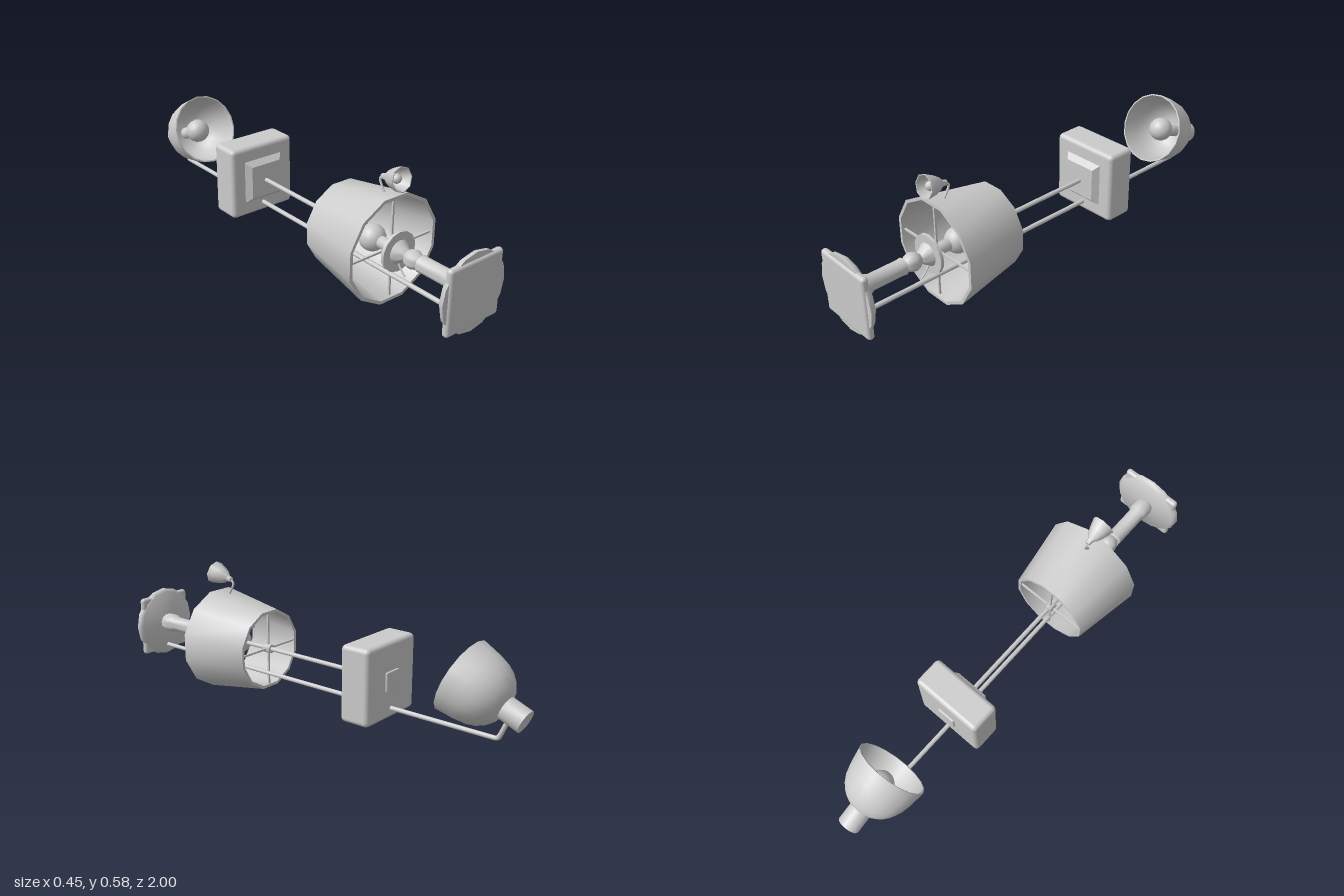
import * as THREE from 'three';
import { toCreasedNormals } from 'three/addons/utils/BufferGeometryUtils.js';
import { RoundedBoxGeometry } from 'three/addons/geometries/RoundedBoxGeometry.js';

const CY = 0.23; // height of the main axis
const mat = new THREE.MeshStandardMaterial({ color: 0xcccccc, side: THREE.DoubleSide });

function add(parent, name, geo, x = 0, y = 0, z = 0) {
  const m = new THREE.Mesh(geo, mat);
  m.name = name;
  m.position.set(x, y, z);
  parent.add(m);
  return m;
}

// Revolved profile of [radius, distance along the axis]; the axis is local +y
function lathe(profile, sides, offset = 0) {
  const pts = profile.map(([r, t]) => new THREE.Vector2(r, t));
  return toCreasedNormals(new THREE.LatheGeometry(pts, sides, offset), 0.9);
}
// Same, with the axis along z
const latheZ = (profile, sides, offset) => lathe(profile, sides, offset).rotateX(Math.PI / 2);

// Tube through [y, z] points in the middle plane
function rod(points, radius, sides = 8) {
  const path = new THREE.CurvePath();
  const v = points.map(([y, z]) => new THREE.Vector3(0, y, z));
  if (v.length === 2) path.add(new THREE.LineCurve3(v[0], v[1]));
  else path.add(new THREE.CatmullRomCurve3(v, false, 'catmullrom', 0.3));
  return new THREE.TubeGeometry(path, v.length === 2 ? 1 : 24, radius, sides);
}

// Square frustum with its axis along z, wide end at the back
function frustumZ(half0, half1, depth) {
  const g = new THREE.CylinderGeometry(half1 * Math.SQRT2, half0 * Math.SQRT2, depth, 4, 1, false, Math.PI / 4);
  return toCreasedNormals(g.rotateX(Math.PI / 2), 0.3);
}

export function createModel() {
  const root = new THREE.Group();

  // Foot: square plate set into a bevelled round disc
  const base = new THREE.Group();
  base.name = 'base';
  base.position.y = CY;
  root.add(base);
  add(base, 'basePlate', new RoundedBoxGeometry(0.275, 0.275, 0.03, 3, 0.014), 0, -0.002, 0.985);
  add(base, 'baseDisc', latheZ([[0, 0.965], [0.15, 0.965], [0.163, 0.978], [0.163, 0.992], [0, 0.992]].map(([r, z]) => [r, z]), 16));

  // Turned column with ball, flare and drip disc
  add(root, 'column', latheZ([
    [0, 0.59], [0.022, 0.59], [0.022, 0.606], [0.085, 0.606], [0.085, 0.62], [0.05, 0.62],
    [0.03, 0.65], [0.022, 0.66], [0.033, 0.672], [0.04, 0.695], [0.033, 0.718], [0.024, 0.73],
    [0.036, 0.737], [0.034, 0.75], [0.034, 0.89], [0.042, 0.905], [0.043, 0.95], [0.036, 0.968],
  ], 14), 0, CY);

  // Bulb on the column
  add(root, 'socket', latheZ([[0.018, 0.5], [0.026, 0.52], [0.026, 0.6]], 12), 0, CY);
  add(root, 'bulb', new THREE.SphereGeometry(0.056, 16, 12), 0, CY, 0.47);

  // Twelve-sided shade, a thin closed wall
  add(root, 'shade', latheZ([
    [0.169, 0.28], [0.182, 0.28], [0.233, 0.59], [0.219, 0.59], [0.169, 0.28],
  ], 12, Math.PI / 12), 0, CY - 0.003);

  // Crossed spokes at both ends of the shade
  for (const [z, r] of [[0.575, 0.213], [0.29, 0.168]]) {
    for (const angle of [0, Math.PI / 2]) {
      const s = add(root, 'shadeSpoke', new THREE.BoxGeometry(2 * r, 0.008, 0.008), 0, CY, z);
      s.rotation.z = angle;
    }
  }
  add(root, 'shadeHub', latheZ([[0, 0.27], [0.02, 0.27], [0.02, 0.31], [0, 0.31]], 10), 0, CY);

  // Pull cord below the drip disc
  add(root, 'pullCord', rod([[0.21, 0.612], [0.18, 0.618], [0.155, 0.635], [0.135, 0.657]], 0.004, 6));

  // Long rods
  add(root, 'upperRod', rod([[CY, 0.46], [CY, -0.23]], 0.01));
  add(root, 'lowerRod', rod([[0.113, 0.97], [0.113, -0.86]], 0.01));
  add(root, 'lampArm', rod([[0.113, -0.855], [0.116, -0.868], [0.13, -0.878], [0.215, -0.915]], 0.01));

  // Square housing with a raised front and a small back plate
  const housing = new THREE.Group();
  housing.name = 'housing';
  housing.position.y = CY + 0.003;
  root.add(housing);
  add(housing, 'housingBody', new RoundedBoxGeometry(0.326, 0.326, 0.137, 3, 0.02), 0, 0, -0.3135);
  add(housing, 'housingFront', frustumZ(0.102, 0.075, 0.03), 0, 0, -0.235);
  add(housing, 'housingBack', new RoundedBoxGeometry(0.085, 0.085, 0.02, 2, 0.005), 0, 0, -0.38);

  // Tilted bowl lamp at the far end
  const bowlLamp = new THREE.Group();
  bowlLamp.name = 'bowlLamp';
  bowlLamp.position.set(0, 0.325, -0.7);
  bowlLamp.rotation.x = 1.17;
  root.add(bowlLamp);
  add(bowlLamp, 'bowl', lathe([
    [0.035, -0.212], [0.05, -0.21], [0.075, -0.2], [0.1, -0.182], [0.123, -0.153], [0.139, -0.12],
    [0.15, -0.075], [0.156, -0.03], [0.16, 0], [0.154, 0], [0.15, -0.03], [0.143, -0.075],
    [0.132, -0.12], [0.116, -0.15], [0.094, -0.175], [0.07, -0.193], [0, -0.2],
  ], 18));
  add(bowlLamp, 'bowlNeck', lathe([[0, -0.3], [0.049, -0.3], [0.049, -0.2]], 16));
  add(bowlLamp, 'bowlSocket', lathe([[0.028, -0.2], [0.028, -0.12], [0.02, -0.11]], 12));
  add(bowlLamp, 'bowlBulb', new THREE.SphereGeometry(0.055, 16, 12), 0, -0.078, 0);

  // Small clip lamp on top of the shade
  const clipLamp = new THREE.Group();
  clipLamp.name = 'clipLamp';
  clipLamp.position.set(0, 0.53, 0.615);
  clipLamp.rotation.x = 1.37;
  root.add(clipLamp);
  add(clipLamp, 'clipShade', lathe([
    [0, -0.108], [0.012, -0.105], [0.014, -0.085], [0.028, -0.068], [0.04, -0.04], [0.052, 0],
    [0.048, 0], [0.036, -0.04], [0.024, -0.065], [0, -0.072],
  ], 8));
  add(clipLamp, 'clipBulb', new THREE.SphereGeometry(0.02, 10, 8), 0, -0.03, 0);
  add(root, 'clipArm', rod([[0.51, 0.515], [0.497, 0.5], [0.48, 0.503], [0.445, 0.525]], 0.005, 6));

  return root;
}
